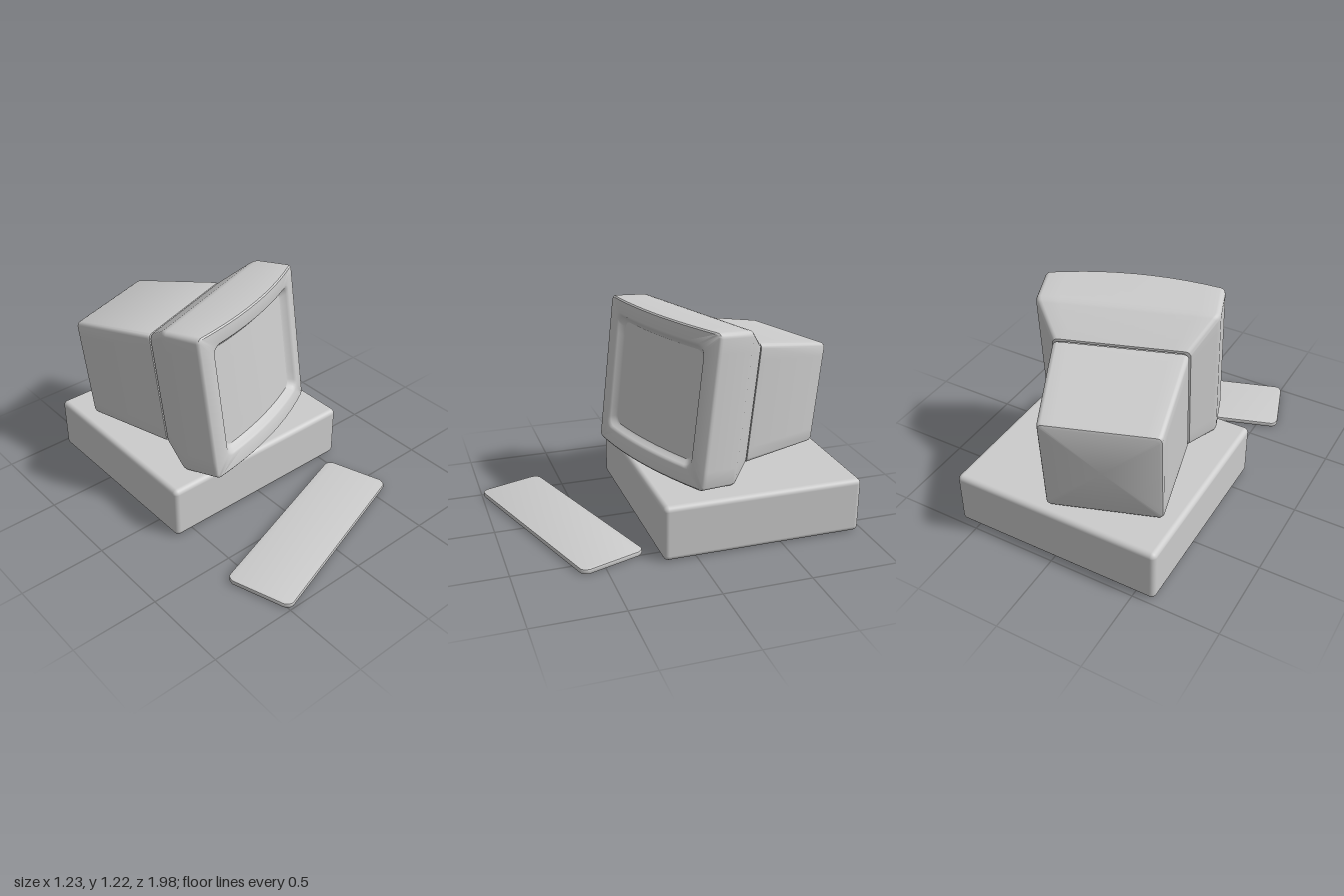
import * as THREE from 'three';
import { toCreasedNormals } from 'three/addons/utils/BufferGeometryUtils.js';
import { RoundedBoxGeometry } from 'three/addons/geometries/RoundedBoxGeometry.js';

const grey = new THREE.MeshStandardMaterial({ color: 0xcccccc });
const EDGE = 10;   // segments along each straight edge of a ring
const ARC = 5;     // segments round each corner

// Rounded rectangle, counter-clockwise from the front; bulge pushes its middle forward.
function ring([half, y0, y1, r, z, bulge = 0]) {
  const pts = [];
  const corners = [[half - r, y0 + r, -90], [half - r, y1 - r, 0], [-half + r, y1 - r, 90], [-half + r, y0 + r, 180]];
  const raw = [];
  for (const [cx, cy, a0] of corners) {
    for (let k = 0; k <= ARC; k++) {
      const a = THREE.MathUtils.degToRad(a0 + 90 * k / ARC);
      raw.push([cx + r * Math.cos(a), cy + r * Math.sin(a)]);
    }
  }
  raw.forEach(([x, y], i) => {
    const [nx, ny] = raw[(i + 1) % raw.length];
    const steps = i % (ARC + 1) === ARC ? EDGE : 1;
    for (let k = 0; k < steps; k++) {
      const px = x + (nx - x) * k / steps, py = y + (ny - y) * k / steps;
      pts.push(px, py, z + bulge * (1 - (px / 0.495) ** 2));
    }
  });
  return pts;
}

// Skin over a series of rings, listed from back to front.
function loft(name, rings, crease = 0.65) {
  const n = 4 * (ARC + EDGE), index = [];
  for (let i = 0; i < rings.length - 1; i++) {
    for (let j = 0; j < n; j++) {
      const k = (j + 1) % n, a = i * n, b = a + n;
      index.push(a + j, a + k, b + k, a + j, b + k, b + j);
    }
  }
  const g = new THREE.BufferGeometry();
  g.setAttribute('position', new THREE.Float32BufferAttribute(rings.flatMap(ring), 3));
  g.setIndex(index);
  const mesh = new THREE.Mesh(toCreasedNormals(g, crease), grey);
  mesh.name = name;
  return mesh;
}

function createMonitor() {
  const monitor = new THREE.Group();
  monitor.name = 'monitor';

  // Front housing: sloped back, straight sides, curved bezel, recess round the screen
  const B = 0.06;
  monitor.add(loft('monitorHousing', [
    [0, 0.41, 0.41, 0, -0.39],
    [0.34, 0.082, 0.736, 0.02, -0.39],
    [0.352, 0.07, 0.748, 0.03, -0.415],
    [0.366, 0.057, 0.761, 0.03, -0.413],
    [0.478, 0.008, 0.861, 0.03, -0.25],
    [0.488, 0.003, 0.868, 0.03, -0.235],
    [0.495, 0, 0.872, 0.03, -0.21],
    [0.495, 0, 0.872, 0.03, -0.02, B],
    [0.493, 0.002, 0.870, 0.028, -0.007, B],
    [0.485, 0.010, 0.862, 0.022, 0, B],
    [0.408, 0.092, 0.793, 0.05, 0, B],
    [0.396, 0.102, 0.783, 0.05, -0.004, B],
    [0.387, 0.109, 0.774, 0.05, -0.014, B],
    [0.366, 0.122, 0.756, 0.045, -0.038, B],
    [0.352, 0.131, 0.745, 0.04, -0.045, B],
  ]));

  // Curved screen, closing in on its centre
  monitor.add(loft('screen', [1, 0.8, 0.6, 0.4, 0.2, 0].map(
    s => [0.352 * s, 0.438 - 0.307 * s, 0.438 + 0.307 * s, 0.04 * s, -0.045, B])));

  // Tapered rear case
  monitor.add(loft('rearCase', [
    [0, 0.41, 0.41, 0, -0.99],
    [0.295, 0.124, 0.697, 0.02, -0.99],
    [0.308, 0.111, 0.710, 0.025, -0.984],
    [0.314, 0.105, 0.716, 0.025, -0.97],
    [0.360, 0.061, 0.757, 0.025, -0.44],
    [0.358, 0.063, 0.755, 0.025, -0.428],
    [0.340, 0.082, 0.736, 0.02, -0.42],
    [0.340, 0.082, 0.736, 0.02, -0.385],
  ]));

  // Turned to one side and tilted back
  monitor.rotation.set(THREE.MathUtils.degToRad(-7.1), THREE.MathUtils.degToRad(19), 0, 'YXZ');
  monitor.position.set(0.084, 0.35, 0.113);
  return monitor;
}

function createKeyboard() {
  const bevel = 0.005, w = 1.18 / 2 - bevel, d = 0.39 / 2 - bevel, r = 0.035;
  const shape = new THREE.Shape();
  shape.moveTo(-w + r, -d);
  shape.lineTo(w - r, -d);
  shape.quadraticCurveTo(w - r / 3, -d, w, -d + r);
  shape.lineTo(w, d - r);
  shape.quadraticCurveTo(w - r / 3, d, w - r, d);
  shape.lineTo(-w + r, d);
  shape.quadraticCurveTo(-w + r / 3, d, -w, d - r);
  shape.lineTo(-w, -d + r);
  shape.quadraticCurveTo(-w + r / 3, -d, -w + r, -d);
  const g = new THREE.ExtrudeGeometry(shape, {
    depth: 0.018, bevelThickness: bevel, bevelSize: bevel, bevelSegments: 2, curveSegments: 4,
  });
  g.rotateX(-Math.PI / 2).translate(0, bevel, 0);
  const mesh = new THREE.Mesh(toCreasedNormals(g, 0.6), grey);
  mesh.name = 'keyboard';
  mesh.rotation.y = THREE.MathUtils.degToRad(18.3);
  mesh.position.set(-0.003, 0, 0.63);
  return mesh;
}

export function createModel() {
  const model = new THREE.Group();
  model.name = 'desktopComputer';

  // Main unit under the monitor
  const base = new THREE.Mesh(new RoundedBoxGeometry(1.23, 0.322, 1.16, 4, 0.03), grey);
  base.name = 'computerCase';
  base.position.set(0, 0.161, -0.393);

  model.add(base, createMonitor(), createKeyboard());
  return model;
}
